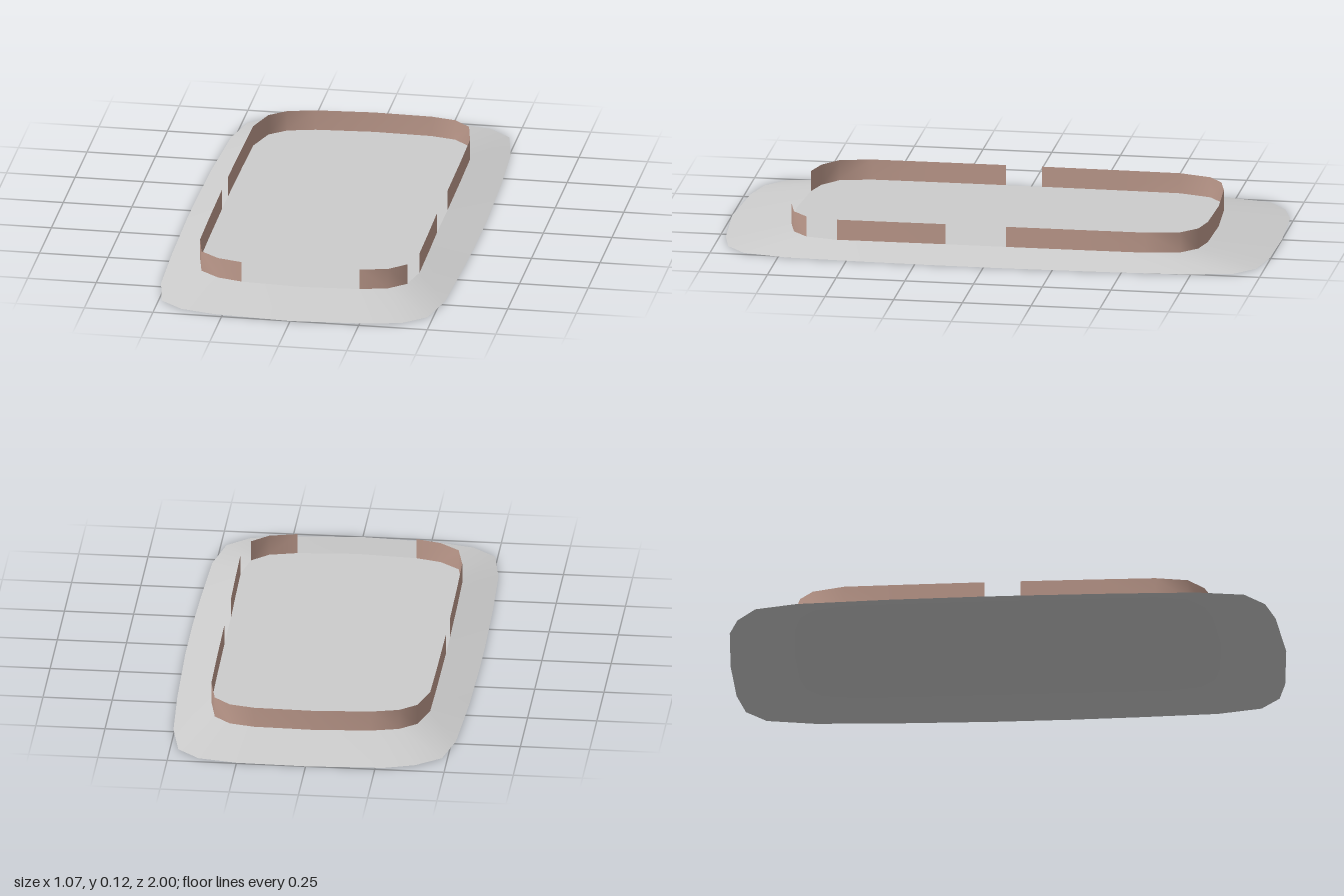
import * as THREE from 'three';

const BASE_Y = 0, DECK_Y = 0.04, WALL_Y = 0.115;

// Matching rim points, clockwise from the back centre: [outer x, outer z, inner x, inner z]
const RIM = [
  [0, -1, 0, -0.77], [0.25, -0.995, 0.21, -0.765], [0.39, -0.97, 0.3, -0.745],
  [0.47, -0.9, 0.36, -0.69], [0.505, -0.73, 0.385, -0.565], [0.52, -0.45, 0.388, -0.35],
  [0.53, -0.08, 0.39, -0.06], [0.53, 0.19, 0.39, 0.16], [0.525, 0.43, 0.393, 0.35],
  [0.515, 0.72, 0.395, 0.555], [0.48, 0.88, 0.37, 0.67], [0.4, 0.95, 0.31, 0.725],
  [0.28, 0.978, 0.21, 0.75], [0, 1, 0, 0.765], [-0.28, 0.98, -0.22, 0.75],
  [-0.405, 0.95, -0.31, 0.725], [-0.49, 0.88, -0.38, 0.67], [-0.52, 0.71, -0.405, 0.555],
  [-0.53, 0.42, -0.408, 0.35], [-0.535, 0.09, -0.41, 0.07], [-0.535, -0.08, -0.41, -0.06],
  [-0.53, -0.4, -0.408, -0.35], [-0.515, -0.73, -0.405, -0.565], [-0.48, -0.88, -0.37, -0.68],
  [-0.39, -0.95, -0.31, -0.73], [-0.28, -0.985, -0.21, -0.755],
];

// Wall runs as first and last rim index (wrapping past the back centre)
const WALLS = {
  backWall: [20, 32],
  leftMiddleWall: [7, 9],
  leftFrontCornerWall: [10, 12],
  rightFrontWall: [14, 19],
};

const outer = RIM.map(([x, z]) => [x, z]);
const inner = RIM.map(([, , x, z]) => [x, z]);
const at = (points, y) => points.map(([x, z]) => [x, y, z]);

function surface(vertices, index) {
  const geometry = new THREE.BufferGeometry();
  geometry.setAttribute('position', new THREE.Float32BufferAttribute(vertices.flat(), 3));
  geometry.setIndex(index);
  geometry.computeVertexNormals();
  return geometry;
}

// Sheet between an upper and a lower row of points
function strip(upper, lower, closed) {
  const n = upper.length, index = [];
  for (let i = 0; i < (closed ? n : n - 1); i++) {
    const j = (i + 1) % n;
    index.push(i, j, n + i, j, n + j, n + i);
  }
  return surface([...upper, ...lower], index);
}

// Flat fan filling a ring
function cap(ring) {
  const n = ring.length, index = [];
  for (let i = 0; i < n; i++) index.push(n, (i + 1) % n, i);
  return surface([...ring, [0, ring[0][1], 0]], index);
}

export function createModel() {
  const concrete = new THREE.MeshStandardMaterial({ color: 0xcccccc, side: THREE.DoubleSide });
  concrete.name = 'light grey';
  const brick = new THREE.MeshStandardMaterial({ color: 0xc09c8e, side: THREE.DoubleSide });
  brick.name = 'dusty brown';

  const group = new THREE.Group();
  group.name = 'walledPlatform';
  const add = (name, geometry, material) => {
    const mesh = new THREE.Mesh(geometry, material);
    mesh.name = name;
    group.add(mesh);
  };

  // Platform: flat deck and sloping skirt, open underneath
  add('deck', cap(at(inner, DECK_Y)), concrete);
  add('skirt', strip(at(inner, DECK_Y), at(outer, BASE_Y), true), concrete);

  // Low walls around the deck, with gaps as entrances
  for (const [name, [first, last]] of Object.entries(WALLS)) {
    const run = [];
    for (let i = first; i <= last; i++) run.push(inner[i % inner.length]);
    add(name, strip(at(run, WALL_Y), at(run, DECK_Y), false), brick);
  }
  return group;
}
